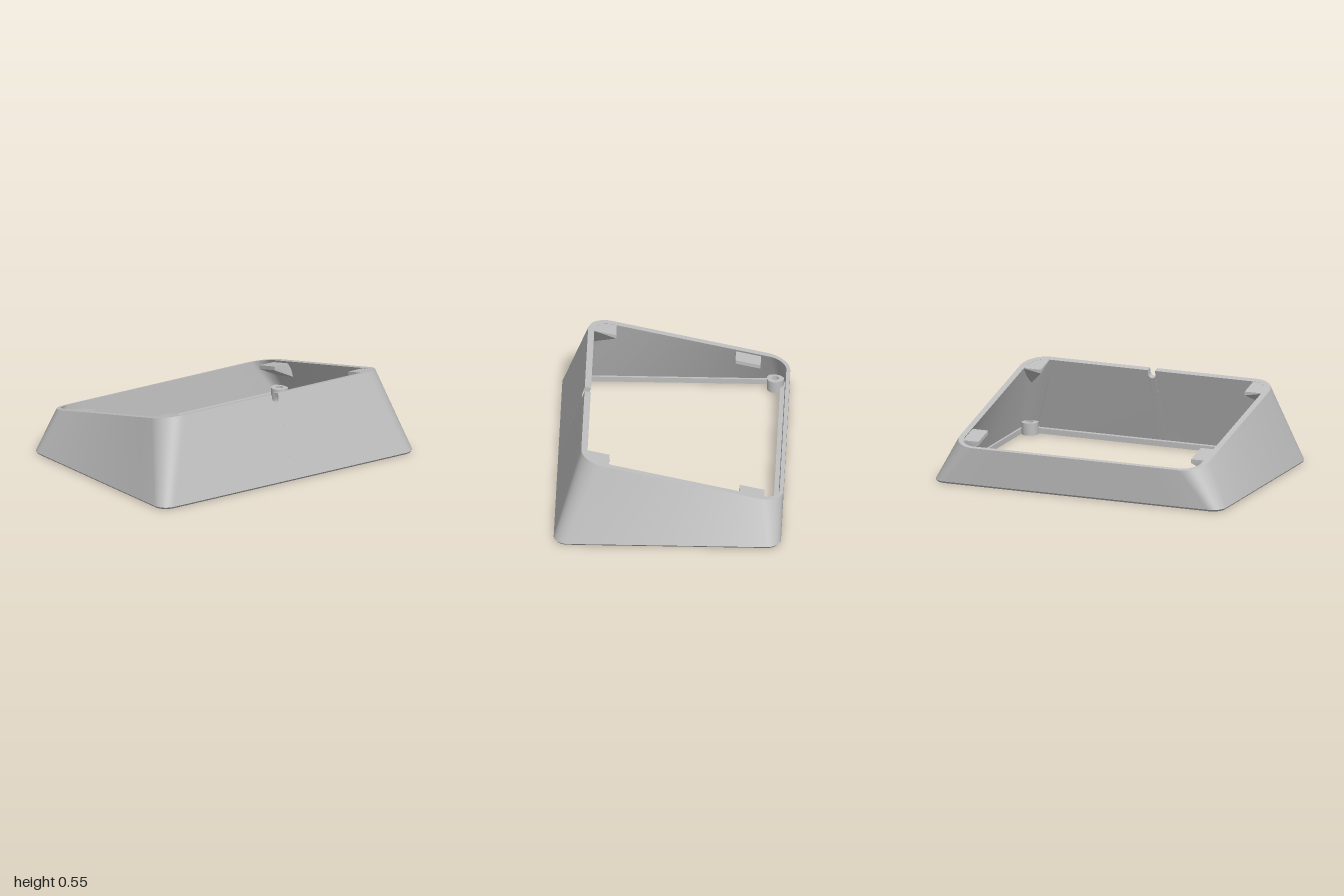
import * as THREE from 'three';
import { toCreasedNormals } from 'three/addons/utils/BufferGeometryUtils.js';
import { ConvexGeometry } from 'three/addons/geometries/ConvexGeometry.js';

const CORNERS = [[1, 1], [-1, 1], [-1, -1], [1, -1]];
const topY = z => 0.545 - 0.225 * (0.56 - z); // sloping top plane

// Columns around the perimeter: corner arcs, straight runs, recess edges and the notch
function makeColumns() {
  const cols = [];
  const run = (c, us, recess = 0) => us.forEach(u => cols.push({ c, u, recess }));
  for (let c = 0; c < 4; c++) {
    for (let i = 0; i <= 10; i++) cols.push({ c, a: (c + i / 10) * Math.PI / 2 });
    if (c !== 0) { run(c, [1, 2, 3, 4, 5, 6, 7].map(i => i / 8)); continue; }
    run(c, [0.02]);
    run(c, [0.02], 1);
    cols.push({ c, x: 0.025, recess: 1 });
    for (let i = 0; i <= 8; i++) {
      const t = i / 8 * Math.PI;
      cols.push({ c, x: 0.025 * Math.cos(t), drop: 0.03 + 0.025 * Math.sin(t), recess: 1 });
    }
    cols.push({ c, x: -0.025, recess: 1 });
    run(c, [0.98], 1);
    run(c, [0.98]);
  }
  return cols;
}

// One loop of points on a rounded rectangle; y is a height or null for the top plane
function ring(cols, hx, z0, z1, r, y) {
  const onCorner = (c, a) => {
    const [sx, sz] = CORNERS[c];
    return new THREE.Vector3(sx * (hx - r) + r * Math.cos(a), 0,
      (sz > 0 ? z1 - r : z0 + r) + r * Math.sin(a));
  };
  return cols.map(k => {
    let p;
    if (k.a !== undefined) p = onCorner(k.c, k.a);
    else if (k.x !== undefined) p = new THREE.Vector3(k.x, 0, z1);
    else {
      const a = (k.c + 1) * Math.PI / 2;
      p = onCorner(k.c, a).lerp(onCorner((k.c + 1) % 4, a), k.u);
    }
    p.y = y === null ? topY(p.z) : y;
    if (y === null && k.drop) { p.y -= k.drop; p.z += k.drop * 0.31; }
    return p;
  });
}

// Tapered shell with top rim, notch, inner recess and bottom ledge
function shellGeometry() {
  const cols = makeColumns();
  const recessed = loop => loop.map((p, i) => p.clone().setZ(p.z + (cols[i].recess ? 0.012 : 0)));
  const innerTop = ring(cols, 0.82, -0.705, 0.52, 0.11, null);
  const innerBase = ring(cols, 0.955, -0.69, 0.69, 0.06, 0.035);
  const mid = innerTop.map((p, i) => p.clone().lerp(innerBase[i], 0.27));
  const rings = [
    ring(cols, 0.99, -0.71, 0.72, 0.08, 0),
    ring(cols, 1, -0.72, 0.73, 0.09, 0.012),
    ring(cols, 0.86, -0.73, 0.56, 0.15, null),
    innerTop, mid, recessed(mid), recessed(innerBase),
    ring(cols, 0.94, -0.66, 0.67, 0.03, 0.035),
    ring(cols, 0.94, -0.66, 0.67, 0.03, 0),
  ];
  const n = cols.length, m = rings.length, index = [];
  for (let j = 0; j < m; j++) for (let i = 0; i < n; i++) {
    const i2 = (i + 1) % n, j2 = (j + 1) % m;
    const a = j * n + i, b = j2 * n + i, c = j * n + i2, d = j2 * n + i2;
    index.push(a, b, c, c, b, d);
  }
  const g = new THREE.BufferGeometry().setFromPoints(rings.flat());
  g.setIndex(index);
  return toCreasedNormals(g, 0.5);
}

// Wedge tab: a top outline in x,z below the rim plane, a thin edge and a lower foot
function tabGeometry(side, outline, edge, feet, sink) {
  const pts = outline.map(([x, z]) => new THREE.Vector3(side * x, topY(z) - sink, z));
  edge.forEach(([x, z]) => pts.push(new THREE.Vector3(side * x, topY(z) - sink - 0.025, z)));
  feet.forEach(([x, y, z]) => pts.push(new THREE.Vector3(side * x, y, z)));
  return new ConvexGeometry(pts);
}

export function createModel() {
  const model = new THREE.Group();
  model.name = 'slopedFrame';
  const grey = new THREE.MeshStandardMaterial({ color: 0xbfbfbf });
  grey.name = 'grey';
  const add = (geometry, name) => {
    const mesh = new THREE.Mesh(geometry, grey);
    mesh.name = name;
    model.add(mesh);
    return mesh;
  };

  add(shellGeometry(), 'shell');

  // Hollow screw posts in the bottom corners
  const post = [[0.022, 0.001], [0.055, 0.001], [0.055, 0.08], [0.022, 0.08], [0.022, 0.001]]
    .map(([x, y]) => new THREE.Vector2(x, y));
  const postGeometry = toCreasedNormals(new THREE.LatheGeometry(post, 24), 0.5);
  for (const [sx, sz] of CORNERS) {
    add(postGeometry, 'screwPost').position.set(sx * 0.89, 0, sz > 0 ? 0.64 : -0.63);
  }

  // Mounting tabs: corner tabs at the front, staggered wall tabs at the back
  for (const s of [1, -1]) {
    add(tabGeometry(s,
      [[0.705, 0.38], [0.84, 0.38], [0.83, 0.46], [0.8, 0.505], [0.705, 0.54]],
      [[0.705, 0.38]], [[0.845, 0.36, 0.555]], 0.001), 'frontTab');
    const z0 = s > 0 ? -0.61 : -0.54, z1 = z0 + 0.16;
    add(tabGeometry(s,
      [[0.72, z0], [0.72, z1], [0.84, z1], [0.84, z0]],
      [[0.72, z0], [0.72, z1]],
      [z0, z1].map(z => [0.86, topY(z) - 0.11, z + 0.01]), 0.015), 'backTab');
  }
  return model;
}
